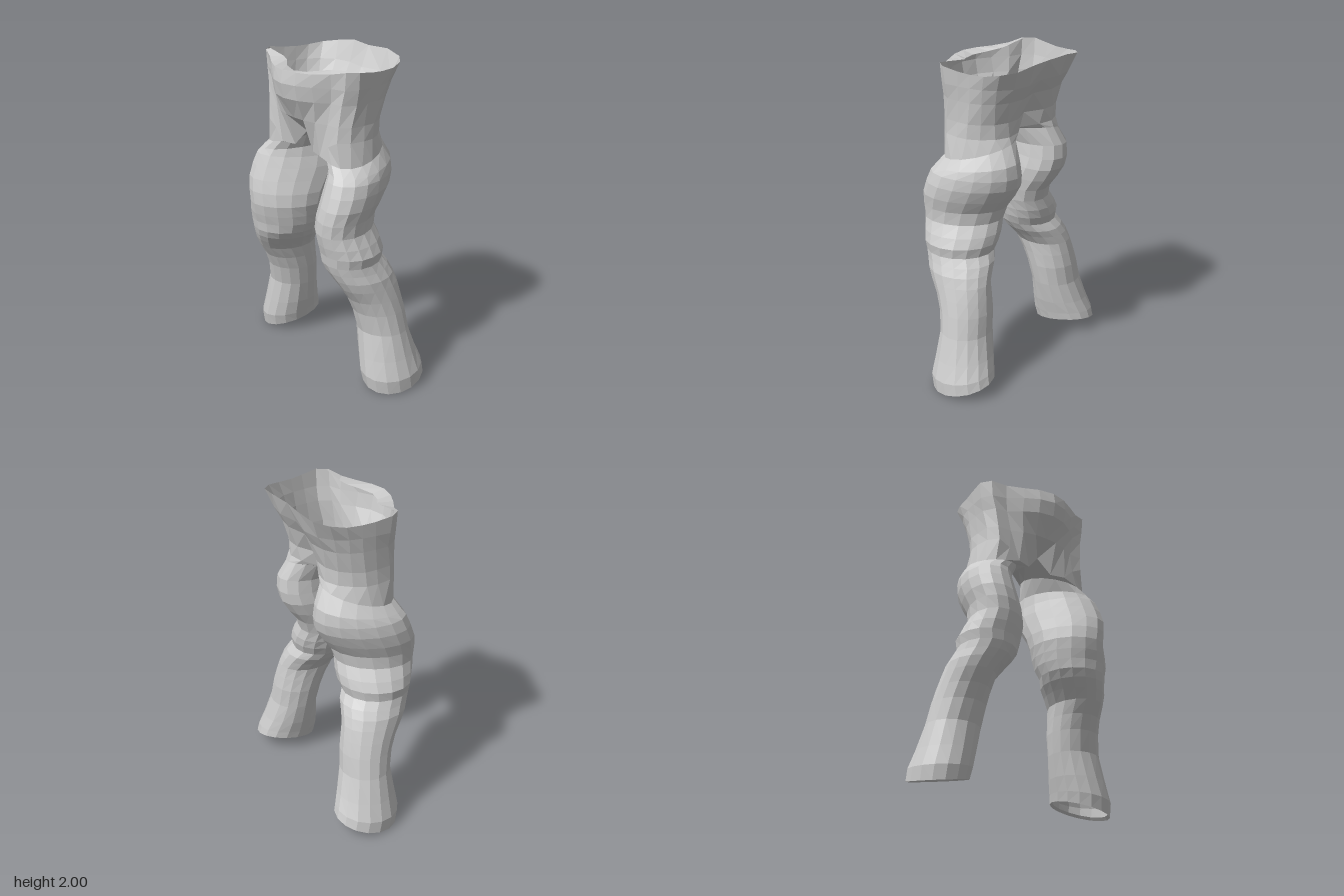
import * as THREE from 'three';

const N = 16; // points around each ring: 0 front seam, 4 outer front, 12 back seam, 13-15 inner leg

// Uneven pelvis edges, front seam to back seam, as x, y, z triples
const waist = [
  0, 1.945, .325, .1, 1.945, .305, .19, 1.945, .262, .285, 1.955, .205, .375, 1.975, .168, .42, 1.975, .105, .412, 1.96, 0,
  .4, 1.953, -.08, .388, 1.955, -.17, .352, 1.968, -.255, .28, 1.98, -.318, .15, 2, -.34, 0, 1.995, -.325,
];
const crotch = [
  0, 1.55, .15, .085, 1.45, .175, .18, 1.45, .2, .25, 1.52, .195, .325, 1.56, .19, .375, 1.56, .13, .388, 1.56, .04,
  .382, 1.56, -.03, .345, 1.56, -.1, .285, 1.56, -.165, .2, 1.56, -.2, .1, 1.56, -.185, 0, 1.55, -.11,
];
const lipInner = [0, 1.93, .245, .1, 1.935, .215, .17, 1.95, .165, .22, 1.96, .15, .36, 1.98, .145];
// Level pelvis rings: y, then x, z pairs
const hipRings = [
  [1.87, [0, .338, .1, .315, .19, .265, .28, .195, .365, .167, .408, .1, .402, .01, .393, -.07, .375, -.145, .33, -.215, .255, -.275, .14, -.295, 0, -.27]],
  [1.78, [0, .32, .1, .3, .19, .248, .265, .185, .345, .173, .39, .1, .39, .02, .385, -.06, .36, -.13, .313, -.19, .24, -.23, .135, -.245, 0, -.215]],
  [1.65, [0, .247, .08, .241, .165, .222, .24, .19, .33, .183, .376, .125, .382, .035, .38, -.04, .345, -.108, .29, -.165, .21, -.2, .12, -.2, 0, -.145]],
];

// Leg rings: y, inner x, outer x, back z, front z, tilt
const legRings = [
  [1.47, .075, .41, -.215, .195, -.2],
  [1.39, .105, .455, -.268, .22, -.08],
  [1.33, .095, .477, -.276, .242],
  [1.26, .082, .49, -.262, .27],
  [1.18, .08, .488, -.215, .298],
  [1.1, .08, .472, -.155, .312],
  [1.02, .085, .468, -.13, .312],
  [.95, .1, .5, -.142, .3],
  [.89, .115, .524, -.14, .285],
  [.83, .14, .515, -.122, .277],
  [.78, .17, .53, -.155, .26],
  [.73, .21, .55, -.17, .235],
  [.67, .253, .56, -.185, .2],
  [.59, .262, .575, -.2, .148],
  [.5, .27, .592, -.215, .11],
  [.37, .288, .617, -.225, .082],
  [.22, .315, .66, -.265, .098, -.05],
  [.12, .337, .695, -.295, .11, -.12],
  [.053, .35, .695, -.308, .095, -.2],
  [.07, .365, .68, -.293, .08, -.2], // turned-in hem
];

const triples = (a) => Array.from({ length: a.length / 3 }, (_, i) => a.slice(i * 3, i * 3 + 3));

// Continue a hip ring along the centre seam so it has N points
function closeSeam(points) {
  const front = points[0], back = points[12];
  for (let i = 1; i < 4; i++) points.push([0, back[1] + (front[1] - back[1]) * i / 4, back[2] + (front[2] - back[2]) * i / 4]);
  return points;
}

function hipRing([y, xz]) {
  return closeSeam(Array.from({ length: 13 }, (_, i) => [xz[i * 2], y, xz[i * 2 + 1]]));
}

// Ellipse within the given width; around the thigh its front leans outward
function legRing([y, xIn, xOut, zBack, zFront, tilt = 0]) {
  const skew = 0.08 * Math.exp(-(((y - 1.2) / 0.33) ** 2));
  const cx = (xIn + xOut) / 2, cz = (zBack + zFront) / 2;
  const rx = Math.sqrt(((xOut - xIn) / 2) ** 2 - skew ** 2), rz = (zFront - zBack) / 2;
  return Array.from({ length: N }, (_, i) => {
    const a = Math.PI * 0.75 - i * Math.PI * 2 / N;
    const dx = Math.cos(a) * rx + Math.sin(a) * skew, dz = Math.sin(a) * rz;
    return [cx + dx, y + tilt * (dx + dz), cz + dz];
  });
}

// Skin consecutive rings; side = -1 mirrors the surface
function skin(rings, side, count) {
  const n = rings[0].length, pos = [], idx = [];
  for (const ring of rings) for (const [x, y, z] of ring) pos.push(x * side, y, z);
  for (let r = 0; r < rings.length - 1; r++) {
    for (let i = 0; i < count; i++) {
      const a = r * n + i, b = r * n + (i + 1) % n, c = a + n, d = b + n;
      if (side > 0) idx.push(a, c, b, b, c, d);
      else idx.push(a, b, c, b, d, c);
    }
  }
  const geo = new THREE.BufferGeometry();
  geo.setAttribute('position', new THREE.Float32BufferAttribute(pos, 3));
  geo.setIndex(idx);
  geo.computeVertexNormals();
  return geo;
}

export function createModel() {
  const group = new THREE.Group();
  group.name = 'trousers';
  const cloth = new THREE.MeshStandardMaterial({ color: 0xcccccc, flatShading: true, side: THREE.DoubleSide });
  cloth.name = 'light grey cloth';

  const crotchRing = closeSeam(triples(crotch));
  const hips = [closeSeam(triples(waist)), ...hipRings.map(hipRing), crotchRing];
  const legs = [crotchRing, ...legRings.map(legRing)];
  const lip = [triples(lipInner), triples(waist).slice(0, 5)];

  for (const [side, label] of [[1, 'left'], [-1, 'right']]) {
    const add = (name, geo) => {
      const mesh = new THREE.Mesh(geo, cloth);
      mesh.name = label + name;
      group.add(mesh);
    };
    add('Hip', skin(hips, side, 12)); // open along the centre seam
    add('Leg', skin(legs, side, N));
    add('WaistLip', skin(lip, side, 4));
  }
  return group;
}
